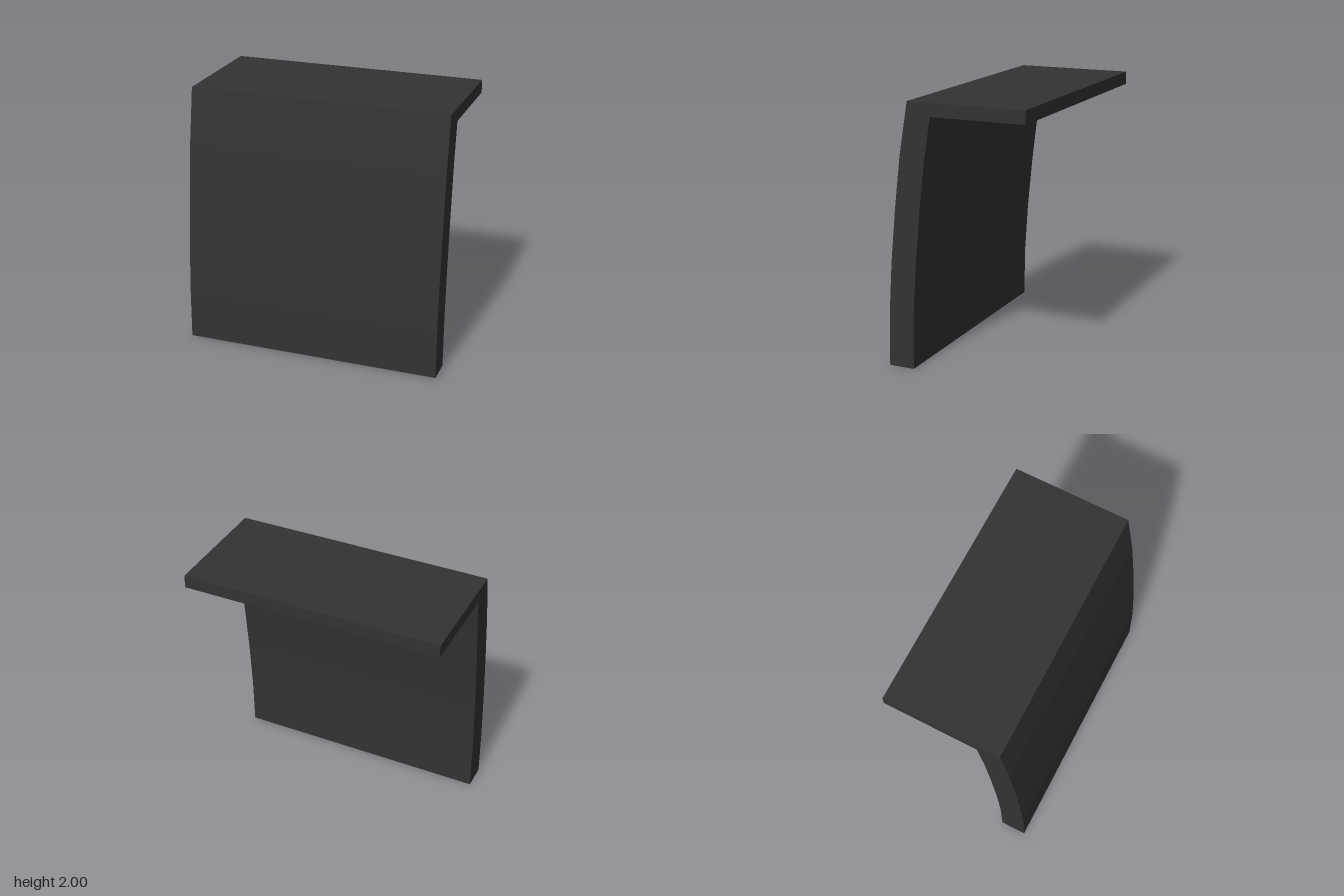
import * as THREE from 'three';

export function createModel() {
  const group = new THREE.Group();
  group.name = 'curvedPanelWithShelf';
  const charcoal = new THREE.MeshStandardMaterial({ color: 0x333333 });
  charcoal.name = 'charcoal';

  // Side profile as [z, y]: curved front, then the shelf, then the curved back
  const front = [[0.55, 0], [0.543, 0.4], [0.517, 0.8], [0.478, 1.2], [0.43, 1.6], [0.362, 2]];
  const shelf = [[-0.55, 2], [-0.55, 1.9]];
  const back = [[0.18, 1.9], [0.23, 1.6], [0.278, 1.2], [0.317, 0.8], [0.343, 0.4], [0.35, 0]];
  const outline = [...front, ...shelf, ...back].map(([z, y]) => new THREE.Vector2(-z, y));

  // Sweep the profile across the full width
  const geometry = new THREE.ExtrudeGeometry(new THREE.Shape(outline), { depth: 2, bevelEnabled: false });
  geometry.translate(0, 0, -1);
  geometry.rotateY(Math.PI / 2);

  const panel = new THREE.Mesh(geometry, charcoal);
  panel.name = 'curvedPanelAndShelf';
  group.add(panel);
  return group;
}
